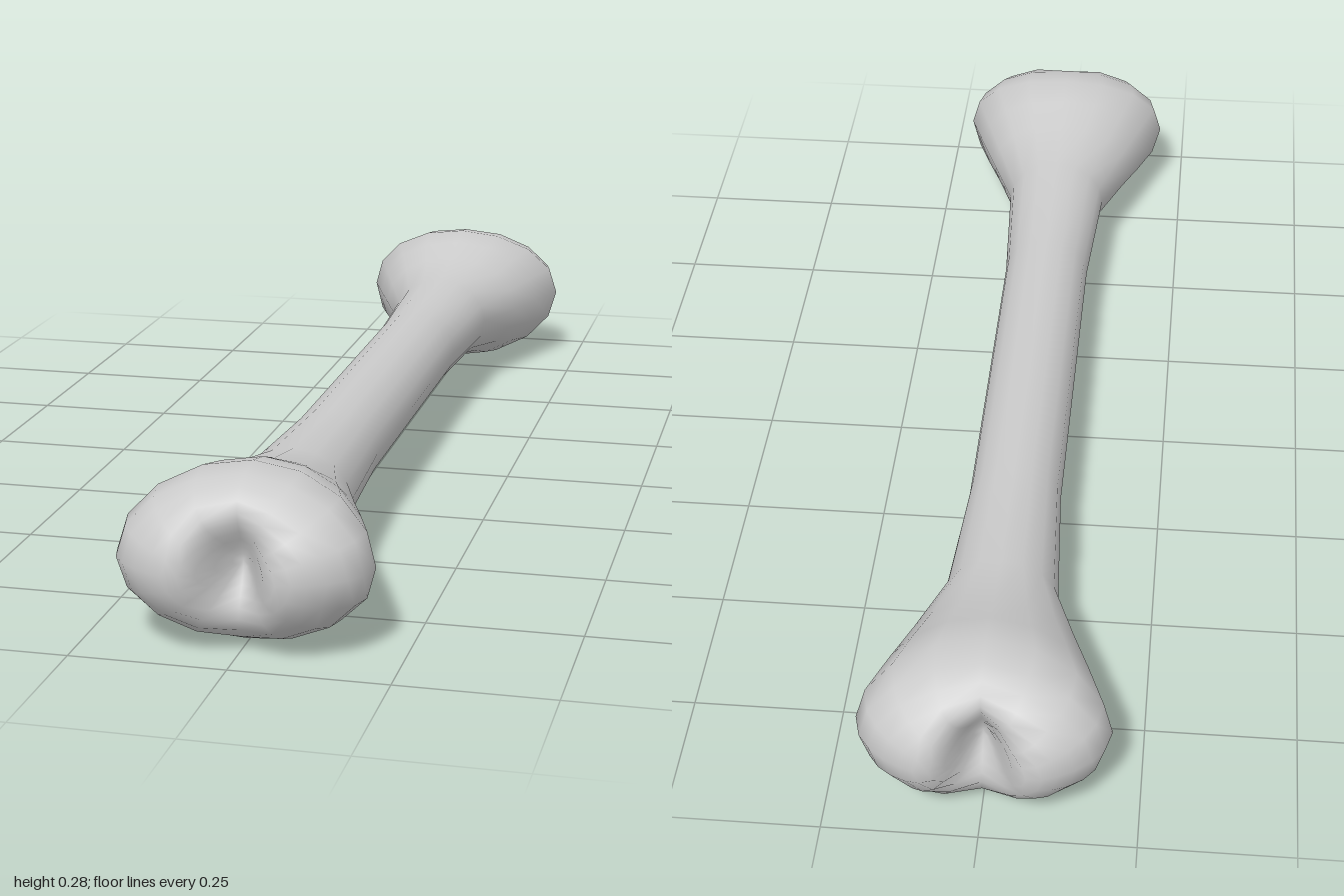
import * as THREE from 'three';

const SIDES = 16;
const HALF_W = 0.203; // widest half width of a knuckle
const HALF_H = 0.139; // tallest half height of a knuckle

// Depth of the knuckle rim: further out at the sides than at top and bottom
const rimZ = (a) => 0.84 + 0.05 * Math.cos(a) ** 2;

// Rounded end cap with a notch that splits it into two lobes
function capPoint(r, a) {
  const x = HALF_W * r * Math.cos(a);
  const y = HALF_H * r * Math.sin(a);
  const dome = rimZ(a) + (1.016 - rimZ(a)) * Math.sqrt(1 - r * r);
  const notch = 0.115 * Math.exp(-((x / 0.045) ** 2) - (y / 0.09) ** 2);
  return [x, y, dome - notch * Math.sqrt(1 - r ** 6)];
}

function boneGeometry() {
  // Half of the bone, from the middle of the shaft to the tip
  const half = [];
  for (const [z, w, h] of [[0.34, 0.08, 0.076], [0.6, 0.095, 0.084], [0.72, 0.14, 0.105]]) {
    half.push((a) => [w * Math.cos(a), h * Math.sin(a), z]);
  }
  half.push((a) => [0.172 * Math.cos(a), 0.126 * Math.sin(a), (0.72 + rimZ(a)) / 2]);
  for (const r of [1, 0.95, 0.86, 0.74, 0.61, 0.49, 0.37, 0.26, 0.16, 0.07]) {
    half.push((a) => capPoint(r, a));
  }

  // Mirror the half to get all rings from back to front
  const back = half.map((f) => (a) => { const [x, y, z] = f(a); return [x, y, -z]; }).reverse();
  const middle = (a) => [0.08 * Math.cos(a), 0.076 * Math.sin(a), 0];
  const rings = [...back, middle, ...half];

  const pos = [];
  const index = [];
  for (const ring of rings) {
    for (let i = 0; i < SIDES; i++) {
      const [x, y, z] = ring((i / SIDES) * Math.PI * 2);
      pos.push(x, y + HALF_H, z);
    }
  }
  const tip = capPoint(0, 0)[2];
  const backTip = pos.length / 3;
  pos.push(0, HALF_H, -tip, 0, HALF_H, tip);

  const last = (rings.length - 1) * SIDES;
  for (let i = 0; i < SIDES; i++) {
    const j = (i + 1) % SIDES;
    for (let k = 0; k < last; k += SIDES) {
      index.push(k + i, k + j, k + SIDES + j, k + i, k + SIDES + j, k + SIDES + i);
    }
    index.push(backTip, j, i, backTip + 1, last + i, last + j);
  }

  const geometry = new THREE.BufferGeometry();
  geometry.setAttribute('position', new THREE.Float32BufferAttribute(pos, 3));
  geometry.setIndex(index);
  geometry.computeVertexNormals();
  return geometry;
}

export function createModel() {
  const group = new THREE.Group();
  group.name = 'bone';
  const bone = new THREE.Mesh(boneGeometry(), new THREE.MeshStandardMaterial({ color: 0xcccccc }));
  bone.name = 'shaftWithKnuckles';
  group.add(bone);
  return group;
}
